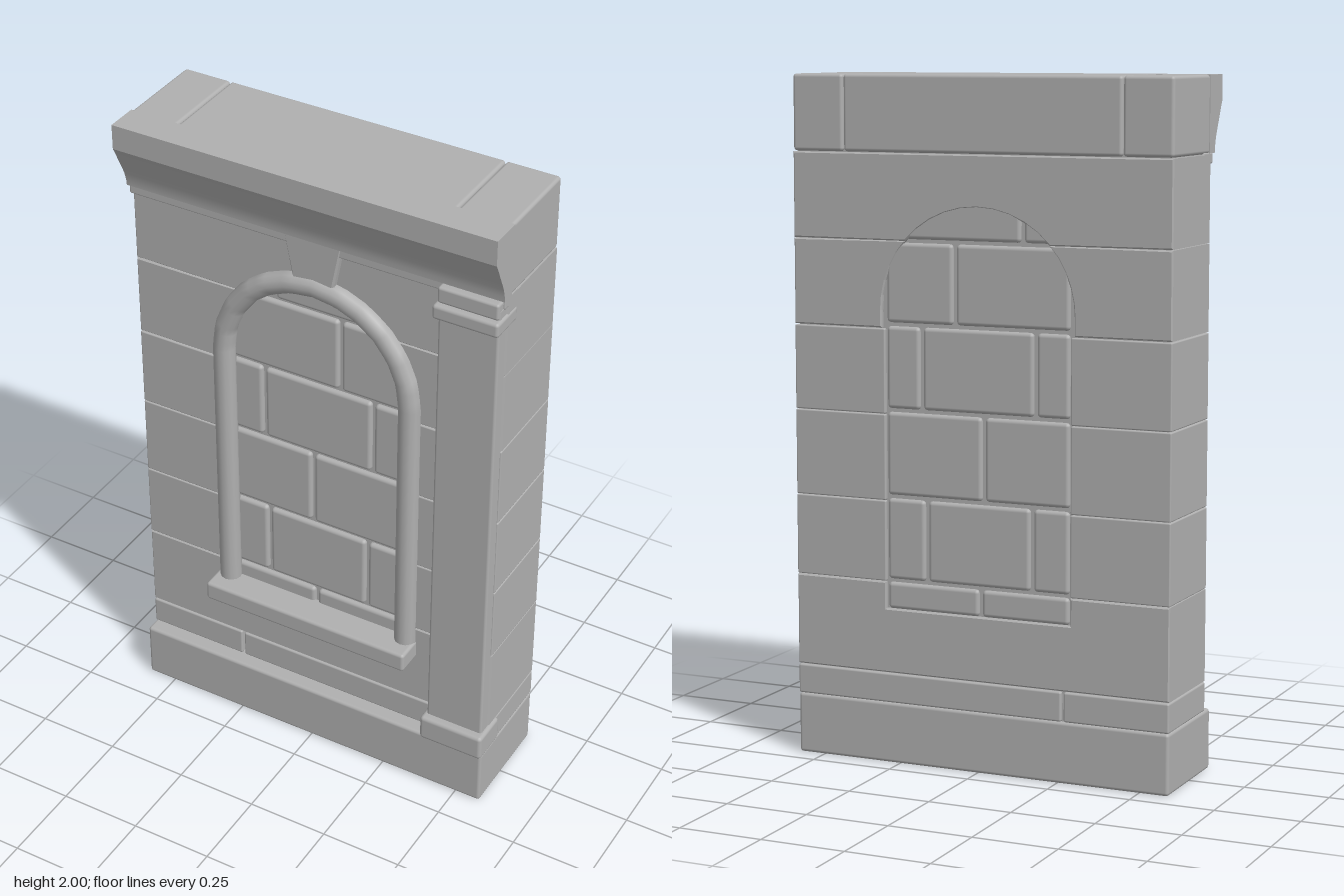
import * as THREE from 'three';
import { toCreasedNormals } from 'three/addons/utils/BufferGeometryUtils.js';
import { RoundedBoxGeometry } from 'three/addons/geometries/RoundedBoxGeometry.js';

const L = -0.59, R = 0.582, BACK = -0.185, FRONT = 0.105;
const ARCH_R = 0.3, ARCH_Y = 1.33;

export function createModel() {
  const model = new THREE.Group();
  const stone = new THREE.MeshStandardMaterial({ color: 0xb0b0b0 });
  stone.name = 'stone grey';

  const add = (name, geometry) => {
    const mesh = new THREE.Mesh(geometry, stone);
    mesh.name = name;
    model.add(mesh);
    return mesh;
  };
  // Rounded block given by its limits
  const block = (name, x0, x1, y0, y1, z0, z1, r = 0.006) => {
    const g = new RoundedBoxGeometry(x1 - x0, y1 - y0, z1 - z0, 2, r);
    g.translate((x0 + x1) / 2, (y0 + y1) / 2, (z0 + z1) / 2);
    return add(name, g);
  };
  // Bevelled slab with any outline in x, y
  const slab = (name, points, z0 = BACK, z1 = FRONT, b = 0.004) => {
    const shape = new THREE.Shape(points.map(([x, y]) => new THREE.Vector2(x, y)));
    const g = new THREE.ExtrudeGeometry(shape, {
      depth: z1 - z0 - 2 * b, bevelEnabled: true, bevelThickness: b,
      bevelSize: b, bevelOffset: -b, bevelSegments: 1,
    });
    g.translate(0, 0, z0 + b);
    return add(name, g);
  };
  // Points on the arch between two angles
  const arc = (a0, a1, n) => Array.from({ length: n + 1 }, (_, i) => {
    const a = a0 + (a1 - a0) * i / n;
    return [ARCH_R * Math.cos(a), ARCH_Y + ARCH_R * Math.sin(a)];
  });

  // Mortar core behind the joints
  const core = new THREE.BoxGeometry(1.15, 1.95, 0.255);
  core.translate(-0.004, 1, -0.045);
  add('mortarCore', core);

  // Plinth and lower courses
  block('plinth', L, R, 0, 0.18, BACK, 0.148, 0.01);
  block('lowerCourse', L, -0.27, 0.18, 0.267, BACK, FRONT);
  block('lowerCourse', -0.262, R, 0.18, 0.267, BACK, FRONT);
  slab('sillCourse', [[L, 0.27], [R, 0.27], [R, 0.539], [0.29, 0.539],
    [0.29, 0.46], [-0.29, 0.46], [-0.29, 0.539], [L, 0.539]]);

  // Blocks beside the niche
  for (const [y0, y1] of [[0.541, 0.777], [0.779, 1.029], [1.031, 1.277]]) {
    block('jambBlock', L, -0.29, y0, y1, BACK, FRONT, 0.004);
    block('jambBlock', 0.29, R, y0, y1, BACK, FRONT, 0.004);
  }

  // Blocks cut to the arch
  const cut = Math.asin((1.53 - ARCH_Y) / ARCH_R);
  for (const side of [-1, 1]) {
    const edge = side < 0 ? -L : R;
    slab('springerBlock', [[edge, 1.28], [edge, 1.529], ...arc(cut, 0, 5), [ARCH_R, 1.28]]
      .map(([x, y]) => [side * x, y]));
  }
  slab('archCourse', [[R, 1.531], [R, 1.778], [L, 1.778], [L, 1.531],
    ...arc(Math.PI - cut, cut, 10)]);

  // Top course
  for (const [x0, x1] of [[L, -0.441], [-0.439, 0.419], [0.421, R]]) {
    block('topBlock', x0, x1, 1.78, 2, BACK, FRONT, 0.01);
  }

  // Brick infill: bottom, top, half width, joints
  const courses = [
    [0.46, 0.539, 0.29, [-0.01]],
    [0.548, 0.785, 0.29, [-0.17, 0.16]],
    [0.795, 1.037, 0.29, [-0.02]],
    [1.047, 1.285, 0.29, [-0.18, 0.175]],
    [1.295, 1.525, 0.29, [0.07]],
    [1.535, 1.65, 0.23, [-0.14]],
  ];
  for (const [y0, y1, w, joints] of courses) {
    const xs = [-w, ...joints, w];
    for (let i = 0; i < xs.length - 1; i++) {
      block('nicheBrick', xs[i] + 0.005, xs[i + 1] - 0.005, y0, y1, -0.183, 0.096, 0.012);
    }
  }

  // Round moulding framing the niche
  const path = new THREE.CurvePath();
  const pts = [[ARCH_R, 0.47], [ARCH_R, 0.9], ...arc(0, Math.PI, 12), [-ARCH_R, 0.9], [-ARCH_R, 0.47]]
    .map(([x, y]) => new THREE.Vector3(x, y, 0.108));
  for (let i = 0; i < pts.length - 1; i++) path.add(new THREE.LineCurve3(pts[i], pts[i + 1]));
  add('archMoulding', new THREE.TubeGeometry(path, 90, 0.033, 12, false));

  // Sill and keystone
  block('sill', -0.343, 0.335, 0.43, 0.492, 0.08, 0.185, 0.01);
  slab('keystone', [[-0.062, 1.635], [0.062, 1.635], [0.092, 1.79], [-0.092, 1.79]], 0.05, 0.125, 0.006);

  // Pilaster with base and capital
  block('pilaster', 0.397, 0.578, 0.18, 1.76, 0.05, 0.145, 0.008);
  block('pilasterBase', 0.385, 0.59, 0.185, 0.268, 0.05, 0.17, 0.012);
  block('pilasterNeck', 0.387, 0.585, 1.685, 1.73, 0.05, 0.165, 0.01);
  block('pilasterCapital', 0.395, 0.577, 1.73, 1.78, 0.05, 0.15, 0.008);

  // Thin band and hollow cornice
  block('corniceBand', L, R, 1.752, 1.784, 0.05, 0.122, 0.005);
  const profile = [[0.09, 2], [0.187, 2], [0.187, 1.925], [0.176, 1.905], [0.165, 1.88],
    [0.15, 1.85], [0.139, 1.825], [0.132, 1.8], [0.13, 1.782], [0.09, 1.782]];
  const shape = new THREE.Shape(profile.map(([z, y]) => new THREE.Vector2(z, y)));
  const cornice = new THREE.ExtrudeGeometry(shape, { depth: 1.176, bevelEnabled: false });
  cornice.rotateY(-Math.PI / 2);
  cornice.translate(0.584, 0, 0);
  add('cornice', toCreasedNormals(cornice, 0.5));

  return model;
}
